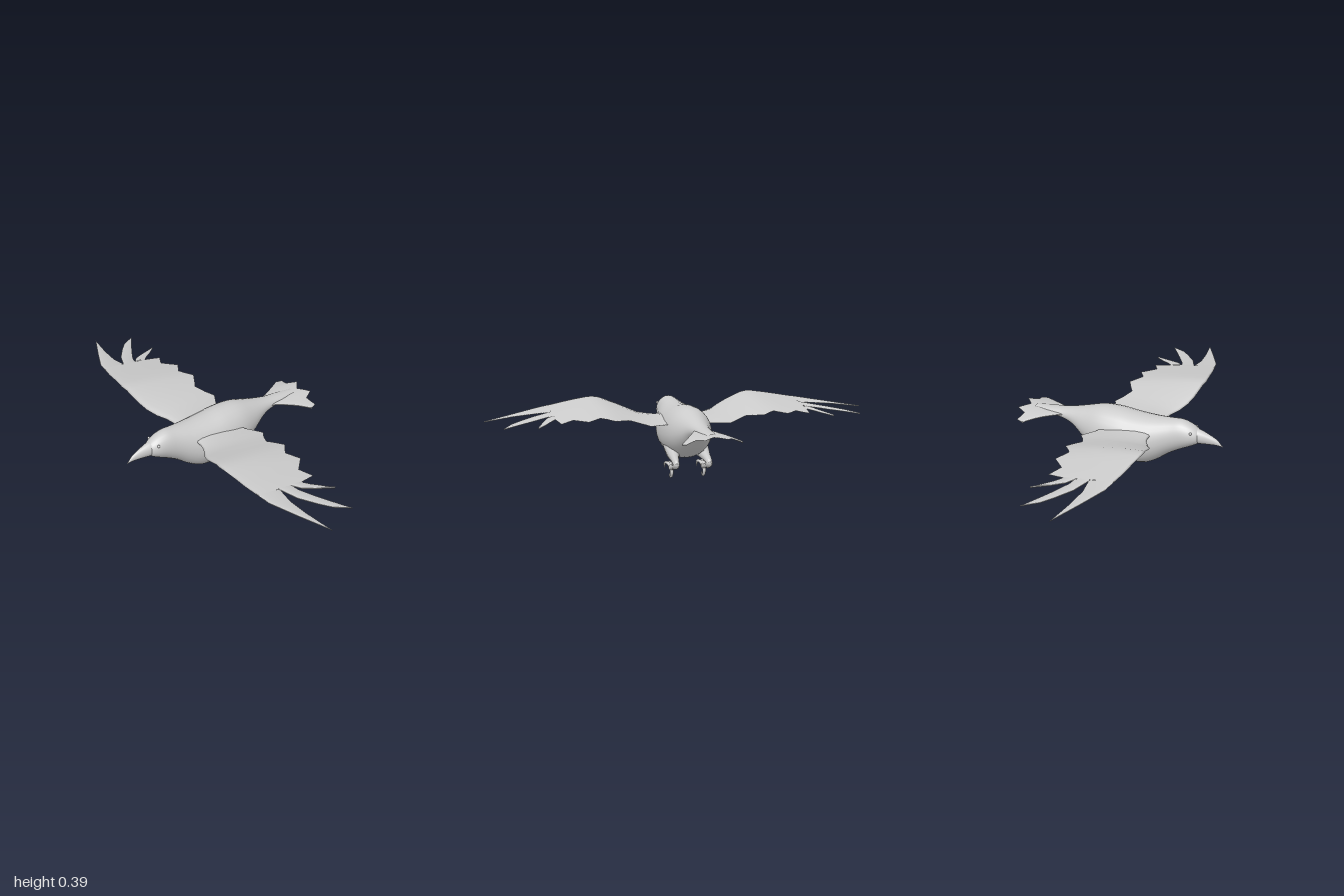
import * as THREE from 'three';

const material = new THREE.MeshStandardMaterial({ color: 0xcccccc, side: THREE.DoubleSide });

function add(parent, name, geometry) {
  const mesh = new THREE.Mesh(geometry, material);
  mesh.name = name;
  parent.add(mesh);
  return mesh;
}

// Skins a list of closed rings (arrays of Vector3) into one smooth surface.
function skin(rings) {
  const n = rings[0].length;
  const pos = rings.flat().flatMap(p => [p.x, p.y, p.z]);
  const index = [];
  for (let i = 0; i < rings.length - 1; i++) {
    for (let j = 0; j < n; j++) {
      const a = i * n + j, b = i * n + (j + 1) % n;
      index.push(a, b, a + n, b, b + n, a + n);
    }
  }
  const g = new THREE.BufferGeometry();
  g.setAttribute('position', new THREE.Float32BufferAttribute(pos, 3));
  g.setIndex(index);
  g.computeVertexNormals();
  return g;
}

// Piecewise linear lookup in [[x, value], ...].
function lookup(table, x) {
  for (let i = 1; i < table.length; i++) {
    const [x0, v0] = table[i - 1], [x1, v1] = table[i];
    if (x <= x1 || i === table.length - 1) {
      return THREE.MathUtils.lerp(v0, v1, THREE.MathUtils.clamp((x - x0) / (x1 - x0), 0, 1));
    }
  }
}

// Oval rings along z from rows of [z, top, bottom, halfWidth], smoothed.
function ovalLoft(rows, steps, sides = 28) {
  const a = new THREE.CatmullRomCurve3(rows.map(r => new THREE.Vector3(r[0], r[1], r[2])), false, 'centripetal');
  const w = rows.map(r => [r[0], r[3]]);
  const widths = new THREE.SplineCurve(w.map(p => new THREE.Vector2(...p)));
  const rings = [];
  for (let i = 0; i <= steps; i++) {
    const p = a.getPoint(i / steps), half = Math.max(0.0005, widths.getPoint(i / steps).y);
    const mid = THREE.MathUtils.lerp(p.z, p.y, 0.47);
    const ring = [];
    for (let j = 0; j < sides; j++) {
      const t = -j / sides * Math.PI * 2, s = Math.sin(t);
      ring.push(new THREE.Vector3(Math.cos(t) * half, mid + s * (s > 0 ? p.y - mid : mid - p.z), p.x));
    }
    rings.push(ring);
  }
  return skin(rings.reverse());
}

// Thin aerofoil blade between a leading and a trailing outline of [x, z].
function blade(lead, trail, height, thickness) {
  const chord = [0, 0.03, 0.12, 0.3, 0.6, 1];
  const rings = lead.map((l, i) => {
    const [lx, lz] = l, [tx, tz] = trail[i];
    const at = (t, side) => {
      const x = THREE.MathUtils.lerp(lx, tx, t), z = THREE.MathUtils.lerp(lz, tz, t);
      const h = thickness(x) * 1.9 * Math.sqrt(t) * (1 - t) + 0.001;
      return new THREE.Vector3(x, height(x, z) + side * h, z);
    };
    return [...chord.map(t => at(t, 1)), ...chord.slice(1).reverse().map(t => at(t, -1))].reverse();
  });
  return skin(rings.map(r => r.reverse()).reverse());
}

// Tube whose radius runs through the given list of radii.
function taperTube(points, radii, segments = 20, sides = 10) {
  const curve = new THREE.CatmullRomCurve3(points.map(p => new THREE.Vector3(...p)));
  const g = new THREE.TubeGeometry(curve, segments, 1, sides);
  const pos = g.attributes.position, v = new THREE.Vector3();
  const table = radii.map((r, i) => [i / (radii.length - 1), r]);
  for (let i = 0; i <= segments; i++) {
    const c = curve.getPointAt(i / segments), r = lookup(table, i / segments);
    for (let j = 0; j <= sides; j++) {
      const k = i * (sides + 1) + j;
      v.fromBufferAttribute(pos, k).sub(c).multiplyScalar(r).add(c);
      pos.setXYZ(k, v.x, v.y, v.z);
    }
  }
  return g;
}

// Wing surface: arched along the span and sloping down towards the rear.
const spanHeight = [[0, 0.3], [0.1, 0.287], [0.2, 0.3], [0.3, 0.345], [0.4, 0.385], [0.47, 0.383], [0.6, 0.362], [0.75, 0.338], [1, 0.305]];
const spanLead = [[0, 0.2], [0.14, 0.2], [0.27, 0.28], [0.42, 0.305], [0.59, 0.28], [0.72, 0.25], [1, 0.11]];
const spanSlope = [[0, 0.02], [0.2, 0.05], [0.4, 0.16], [0.65, 0.14], [1, 0.08]];
const wingHeight = (x, z) => lookup(spanHeight, x) - lookup(spanSlope, x) * (lookup(spanLead, x) - z);
const wingThickness = x => lookup([[0, 0.03], [0.12, 0.022], [0.3, 0.014], [0.6, 0.007], [1, 0.002]], x);

function makeWing() {
  const wing = new THREE.Group();
  const trail = [[0.03, -0.06], [0.08, -0.065], [0.12, -0.07], [0.16, -0.095], [0.205, -0.12], [0.25, -0.09], [0.3, -0.065],
    [0.34, -0.09], [0.385, -0.115], [0.42, -0.085], [0.45, -0.065], [0.515, -0.105], [0.58, -0.04], [0.645, -0.075], [0.662, 0.015]];
  add(wing, 'wingPanel', blade(trail.map(([x]) => [x, lookup(spanLead, x)]), trail, wingHeight, wingThickness));
  const feathers = [
    [[[0.66, 0.263], [0.72, 0.25], [0.85, 0.187], [1, 0.11]],
      [[0.66, 0.14], [0.75, 0.15], [0.85, 0.14], [1, 0.11]]],
    [[[0.66, 0.145], [0.75, 0.105], [0.83, 0.045], [0.88, 0], [0.925, -0.075]],
      [[0.66, 0.07], [0.7, 0.06], [0.78, 0.015], [0.85, -0.028], [0.925, -0.075]]],
    [[[0.66, 0.075], [0.7, 0.04], [0.73, -0.02], [0.765, -0.11]],
      [[0.66, 0.01], [0.69, -0.02], [0.72, -0.06], [0.765, -0.11]]],
  ];
  feathers.forEach(([l, t], i) => add(wing, 'flightFeather' + (i + 1), blade(l, t, wingHeight, wingThickness)));
  return wing;
}

function makeLeg() {
  const leg = new THREE.Group(), x = 0.085;
  add(leg, 'thigh', taperTube([[0.07, 0.16, 0], [0.08, 0.125, -0.07], [x, 0.1, -0.13], [x, 0.085, -0.152]], [0.045, 0.036, 0.022, 0.015]));
  add(leg, 'shin', taperTube([[x, 0.105, -0.138], [x, 0.088, -0.148], [x, 0.073, -0.11], [x, 0.056, -0.045]], [0.012, 0.017, 0.011, 0.013]));
  const joint = add(leg, 'foot', new THREE.SphereGeometry(0.015, 12, 8));
  joint.position.set(x, 0.056, -0.045);
  // Three curled front toes and one hind toe
  for (const s of [-1, 0, 1]) {
    add(leg, 'frontToe', taperTube([[x, 0.056, -0.045], [x + s * 0.01, 0.074, -0.018], [x + s * 0.018, 0.075, 0.004],
      [x + s * 0.02, 0.062, 0.013], [x + s * 0.02, 0.046, 0.011]], [0.01, 0.009, 0.008, 0.006, 0.001], 16, 8));
  }
  add(leg, 'hindToe', taperTube([[x, 0.056, -0.045], [x, 0.033, -0.056], [x, 0.013, -0.045],
    [x, 0.007, -0.025], [x, 0.019, -0.004]], [0.01, 0.009, 0.008, 0.006, 0.001], 16, 8));
  return leg;
}

export function createModel() {
  const bird = new THREE.Group();
  bird.name = 'bird';

  // Body and head in one loft, ending in the flattened tail root
  add(bird, 'body', ovalLoft([
    [0.435, 0.318, 0.272, 0.02], [0.42, 0.334, 0.258, 0.038], [0.385, 0.355, 0.238, 0.053], [0.335, 0.37, 0.212, 0.063],
    [0.28, 0.366, 0.18, 0.075], [0.21, 0.36, 0.128, 0.098], [0.156, 0.358, 0.102, 0.113], [0.08, 0.36, 0.097, 0.122],
    [0, 0.367, 0.095, 0.124], [-0.09, 0.364, 0.118, 0.113], [-0.18, 0.34, 0.17, 0.083], [-0.25, 0.32, 0.228, 0.056],
    [-0.31, 0.307, 0.25, 0.042], [-0.39, 0.298, 0.264, 0.036], [-0.47, 0.29, 0.276, 0.02]], 56));

  // Beak with a down-curved tip
  add(bird, 'beak', ovalLoft([
    [0.55, 0.266, 0.263, 0.002], [0.52, 0.296, 0.267, 0.01], [0.47, 0.32, 0.264, 0.02],
    [0.42, 0.336, 0.26, 0.032], [0.39, 0.335, 0.26, 0.035]], 16, 16));

  // Fan tail, arched down at the sides
  const halfFan = [[0, -0.24, -0.505], [0.025, -0.27, -0.525], [0.055, -0.33, -0.55], [0.085, -0.385, -0.5],
    [0.11, -0.425, -0.505], [0.138, -0.465, -0.515], [0.148, -0.478, -0.485]];
  const fan = [...halfFan.slice(1).reverse().map(([x, f, b]) => [-x, f, b]), ...halfFan];
  add(bird, 'tail', blade(fan.map(([x, f]) => [x, f]), fan.map(([x, , b]) => [x, b]),
    (x, z) => 0.284 - 1.5 * x * x, () => 0.005));

  // Mirrored wings, legs and eyes
  for (const [side, s] of [['left', 1], ['right', -1]]) {
    const wing = makeWing(), leg = makeLeg();
    wing.name = side + 'Wing';
    leg.name = side + 'Leg';
    wing.scale.x = leg.scale.x = s;
    bird.add(wing, leg);
    const eye = add(bird, side + 'Eye', new THREE.SphereGeometry(0.007, 12, 8));
    eye.position.set(s * 0.044, 0.325, 0.395);
  }
  return bird;
}
